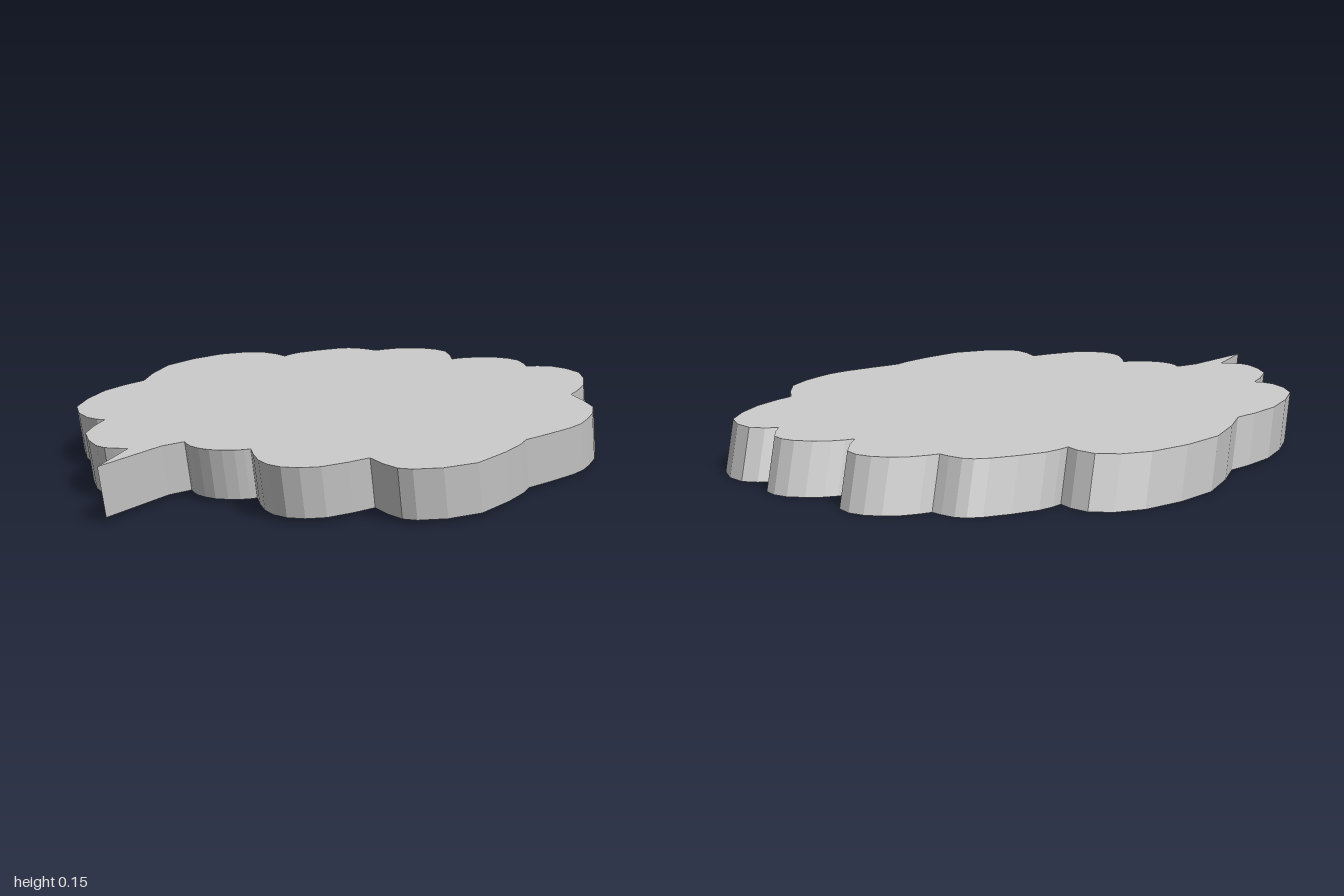
import * as THREE from 'three';

// Scalloped lobes of the outline as [x, z] points; each lobe ends where the next one starts.
const LOBES = [
  [[-0.167, 0.664], [-0.13, 0.706], [-0.07, 0.727], [-0.008, 0.71], [0.024, 0.68]],
  [[0.024, 0.68], [0.093, 0.79], [0.172, 0.838], [0.262, 0.8], [0.336, 0.664]],
  [[0.336, 0.664], [0.42, 0.738], [0.484, 0.738], [0.59, 0.638], [0.632, 0.426], [0.632, 0.315]],
  [[0.632, 0.315], [0.7, 0.124], [0.712, 0], [0.685, -0.18], [0.58, -0.34]],
  [[0.58, -0.34], [0.575, -0.505], [0.51, -0.706], [0.4, -0.786], [0.33, -0.754]],
  [[0.33, -0.754], [0.272, -0.855], [0.193, -0.882], [0.108, -0.844], [0.071, -0.796]],
  [[0.071, -0.796], [0.003, -0.934], [-0.085, -0.965], [-0.167, -0.929], [-0.214, -0.865]],
  [[-0.214, -0.865], [-0.288, -0.886], [-0.347, -0.855], [-0.431, -0.73], [-0.447, -0.648]],
  [[-0.447, -0.648], [-0.542, -0.693], [-0.653, -0.606], [-0.717, -0.35], [-0.664, -0.082]],
  [[-0.664, -0.082], [-0.693, 0.108], [-0.648, 0.357], [-0.548, 0.479], [-0.489, 0.489]],
  [[-0.489, 0.489], [-0.452, 0.664], [-0.352, 0.79], [-0.299, 0.8], [-0.262, 0.788]],
];
const TAIL = [[-0.235, 1], [-0.198, 0.733]];
const THICKNESS = 0.135;
const LEAN = 0.038; // how far the underside is shifted back
const TILT = 0.0065; // slight rise toward the front

export function createModel() {
  const group = new THREE.Group();
  group.name = 'speechBubble';

  // Outline: faceted lobes, then the pointed tail
  const toPoint = ([x, z]) => new THREE.Vector2(x, -z);
  const outline = LOBES.flatMap((lobe) =>
    new THREE.SplineCurve(lobe.map(toPoint)).getPoints(8).slice(0, -1));
  outline.push(toPoint(LOBES.at(-1).at(-1)), ...TAIL.map(toPoint));

  // Slab lying flat, sheared so its walls lean
  const geometry = new THREE.ExtrudeGeometry(new THREE.Shape(outline), {
    depth: THICKNESS, bevelEnabled: false,
  });
  geometry.rotateX(-Math.PI / 2);
  const p = geometry.attributes.position;
  for (let i = 0; i < p.count; i++) {
    const z = p.getZ(i) - LEAN * (1 - p.getY(i) / THICKNESS);
    p.setZ(i, z);
    p.setY(i, p.getY(i) + TILT * (z + 1));
  }
  geometry.computeVertexNormals();

  const slab = new THREE.Mesh(geometry,
    new THREE.MeshStandardMaterial({ color: 0xcccccc, flatShading: true }));
  slab.name = 'bubbleSlab';
  group.add(slab);
  return group;
}
